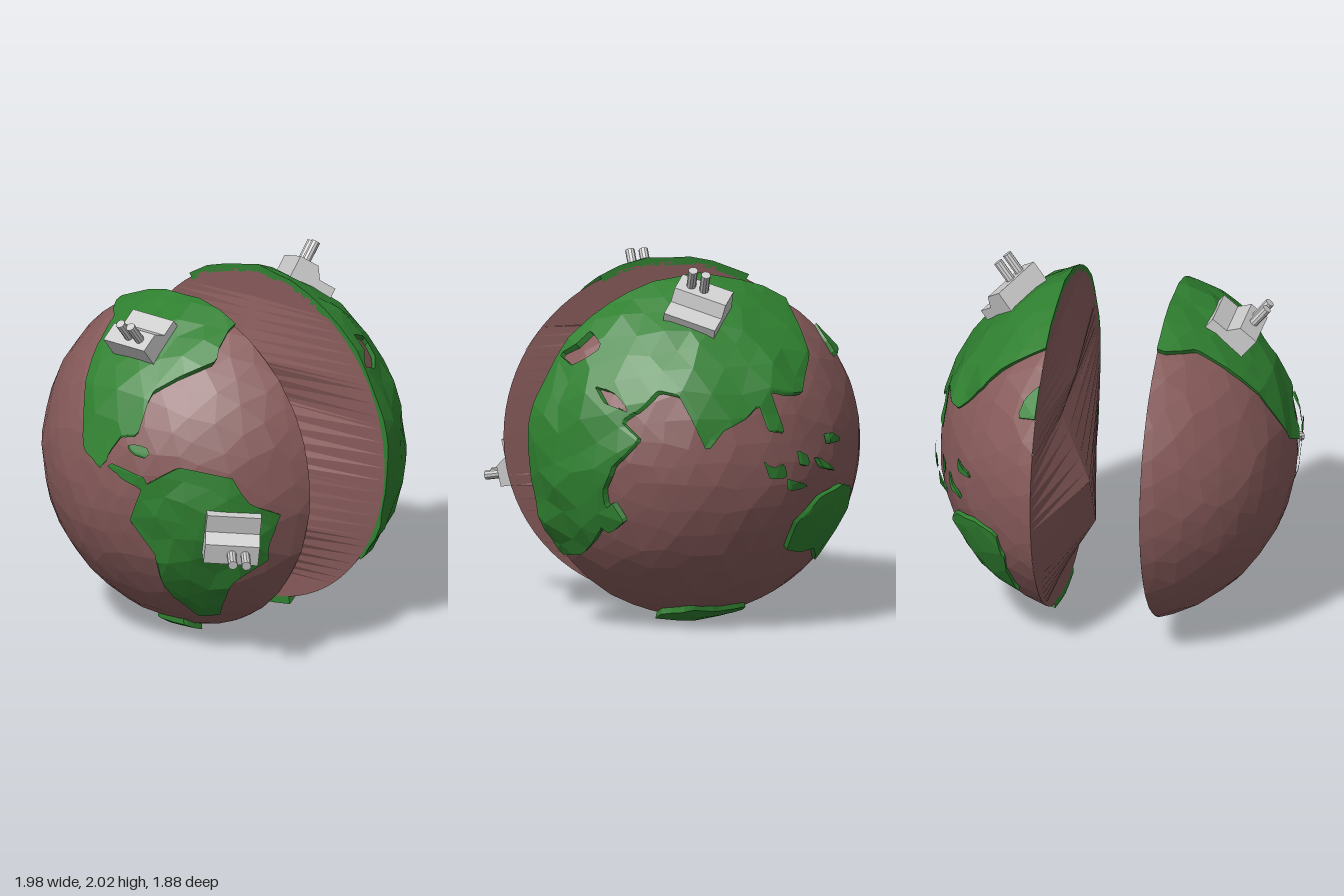
import * as THREE from 'three';

const R = 0.98, CUT = 0.305, C = new THREE.Vector3(0, 0.955, -0.02);
const V = (x, y, z) => new THREE.Vector3(x, y, z);
const mat = (color, side = THREE.FrontSide) => new THREE.MeshStandardMaterial({ color, side, flatShading: true });
const ROCK = 0x875a5a, GRASS = 0x2f8030;

// Coastlines as [z, y] outlines, one set for each half (+1 is the left half, -1 the right)
const LAND = {
  1: [
    [[-0.5, 2.1], [-0.53, 1.74], [-0.57, 1.5], [-0.49, 1.32], [-0.38, 1.33], [-0.28, 1.36], [-0.36, 1.12], [-0.27, 1.14],
      [-0.22, 1.29], [-0.14, 1.22], [0, 1.16], [0.1, 1.04], [0.17, 1.2], [0.24, 1.35], [0.34, 1.37], [0.44, 1.27],
      [0.54, 1.2], [0.46, 1.11], [0.59, 0.95], [0.63, 0.81], [0.6, 0.66], [0.67, 0.42], [0.75, 0.38], [1.2, 0.3], [1.2, 2.1]],
    [[-0.41, 0.44], [-0.45, 0.6], [-0.6, 0.73], [-0.76, 0.77], [-0.84, 0.74], [-0.83, 0.6], [-0.66, 0.32], [-0.6, 0.42], [-0.5, 0.41]],
    [[0.64, 0.66], [0.58, 0.74], [0.52, 0.64], [0.58, 0.55]],
    [[-0.23, 0.98], [-0.27, 0.87], [-0.37, 0.87], [-0.35, 0.95], [-0.29, 0.93]],
    [[-0.45, 1.02], [-0.47, 0.93], [-0.52, 0.91], [-0.5, 0.98]],
    [[-0.38, 0.86], [-0.39, 0.79], [-0.54, 0.8]],
    [[-0.56, 0.97], [-0.66, 0.9], [-0.7, 0.86], [-0.6, 0.9]],
    [[-0.64, 1.1], [-0.66, 1.02], [-0.77, 1.02], [-0.7, 1.06]],
    [[-0.66, 1.7], [-0.72, 1.56], [-0.79, 1.45], [-0.9, 1.5], [-0.75, 1.75]],
    [[0.25, -0.1], [0.2, 0.045], [0.05, 0.08], [-0.1, 0.06], [-0.28, 0.07], [-0.3, -0.1]],
  ],
  '-1': [
    [[-0.5, 2.1], [-0.48, 1.78], [-0.36, 1.75], [-0.32, 1.61], [-0.25, 1.41], [-0.15, 1.15], [0, 1.08], [0.05, 1.2],
      [0.1, 1.28], [0.2, 1.3], [0.2, 1.52], [0.3, 1.6], [0.43, 1.68], [0.36, 1.81], [0.4, 2.1]],
    [[0.28, 1.03], [0.45, 1.15], [0.69, 1.1], [0.76, 0.95], [0.86, 0.88], [0.8, 0.7], [0.78, 0.6], [0.61, 0.45],
      [0.42, 0.2], [0.3, 0.18], [0.28, 0.4], [0.31, 0.6], [0.18, 0.8]],
    [[0, 1.14], [0.1, 1.12], [0.28, 1.08], [0.3, 1.0], [0.15, 1.05]],
    [[0.15, 1.25], [0.26, 1.24], [0.3, 1.18], [0.2, 1.2]],
    [[0.15, -0.1], [0.1, 0.05], [-0.1, 0.06], [-0.2, -0.1]],
  ],
};
const LAKES = {
  1: [[[0.76, 1.5], [0.6, 1.64], [0.57, 1.57], [0.72, 1.46]], [[0.65, 1.39], [0.61, 1.29], [0.48, 1.24], [0.55, 1.34]]],
  '-1': [],
};

// Signed distance to an outline, positive inside
function inside(poly, px, py) {
  let d = Infinity, sign = -1;
  poly.forEach(([ax, ay], i) => {
    const [bx, by] = poly[(i + 1) % poly.length], ex = bx - ax, ey = by - ay;
    const t = THREE.MathUtils.clamp(((px - ax) * ex + (py - ay) * ey) / (ex * ex + ey * ey), 0, 1);
    d = Math.min(d, Math.hypot(px - ax - t * ex, py - ay - t * ey));
    if ((ay > py) !== (by > py) && px < ax + ex * (py - ay) / ey) sign = -sign;
  });
  return sign * d;
}
const landAt = (p, s) => Math.min(
  Math.max(...LAND[s].map(o => inside(o, p.z, p.y))),
  ...LAKES[s].map(o => -inside(o, p.z, p.y)));

// Keeps the part of a polygon where f > 0, marking the new corners as cut
function clip(poly, f) {
  const out = [], d = poly.map(f);
  poly.forEach((a, i) => {
    const j = (i + 1) % poly.length;
    if (d[i] > 0) out.push(a);
    if (d[i] > 0 !== d[j] > 0) {
      const p = a.clone().lerp(poly[j], d[i] / (d[i] - d[j]));
      p.cut = true;
      out.push(p);
    }
  });
  return out;
}

const hash = (v, k) => {
  const s = Math.sin(Math.round(v.x * 500) * 12.99 + Math.round(v.y * 500) * 78.23 + Math.round(v.z * 500) * 37.72 + k * 9.1) * 4375.85;
  return s - Math.floor(s);
};
function facetMesh(name, tris, material) {
  const g = new THREE.BufferGeometry().setFromPoints(tris);
  g.computeVertexNormals();
  const m = new THREE.Mesh(g, material);
  m.name = name;
  return m;
}
const fan = (out, poly) => {
  for (let i = 2; i < poly.length; i++) out.push(poly[0], poly[i - 1], poly[i]);
};

// Rock crust and raised land of one half
function crust(s) {
  const rock = [], grass = [];
  const pos = new THREE.IcosahedronGeometry(1, 7).attributes.position;
  const shaped = (v, lift) => {
    const j = V(hash(v, 1) - 0.5, hash(v, 2) - 0.5, hash(v, 3) - 0.5).multiplyScalar(0.055);
    const r = R - 0.006 + 0.01 * hash(v, 4) + lift * (0.012 + 0.026 * hash(v, 5));
    return j.add(v).normalize().multiplyScalar(r).add(C);
  };
  const half = p => s * p.x - CUT;
  const N = 5;
  for (let i = 0; i < pos.count; i += 3) {
    const base = [0, 1, 2].map(k => V().fromBufferAttribute(pos, i + k));
    fan(rock, clip(base.map(v => shaped(v, 0)), half));
    const [a, b, c] = base.map(v => shaped(v, 1));
    if (Math.max(s * a.x, s * b.x, s * c.x) < CUT) continue;
    const at = (u, v) => a.clone().addScaledVector(b.clone().sub(a), u / N).addScaledVector(c.clone().sub(a), v / N);
    for (let u = 0; u < N; u++) for (let v = 0; v < N - u; v++) {
      const cells = [[at(u, v), at(u + 1, v), at(u, v + 1)]];
      if (u + v < N - 1) cells.push([at(u + 1, v), at(u + 1, v + 1), at(u, v + 1)]);
      for (const cell of cells) {
        const p = clip(clip(cell, half), q => landAt(q, s));
        fan(grass, p);
        // coast walls down into the rock
        p.forEach((m, k) => {
          const n = p[(k + 1) % p.length];
          if (!m.cut || !n.cut) return;
          const low = q => { const w = q.clone().sub(C).multiplyScalar(0.955).add(C); w.x = q.x; return w; };
          fan(grass, [m, low(m), low(n), n]);
        });
      }
    }
  }
  return [facetMesh('crust', rock, mat(ROCK)), facetMesh('continents', grass, mat(GRASS))];
}

// Broken inner face: a ridge of [y, x, z] points joined to the round rim
function fracture(s, ridge) {
  const rc = Math.sqrt(R * R - CUT * CUT) - 0.004, x0 = s * CUT, tris = [];
  const ys = ridge.map(p => p[0]);
  for (let i = 0; i <= 40; i++) ys.push(C.y - rc * Math.cos(Math.PI * i / 40));
  ys.sort((a, b) => a - b);
  const rows = ys.map(y => {
    const w = Math.sqrt(Math.max(0, rc * rc - (y - C.y) ** 2));
    let apex = V(x0, y, C.z);
    for (let i = 1; i < ridge.length; i++) {
      const [p, q] = [ridge[i - 1], ridge[i]];
      if (y >= p[0] && y <= q[0]) {
        const t = (y - p[0]) / (q[0] - p[0]);
        apex = V(p[1] + t * (q[1] - p[1]), y, p[2] + t * (q[2] - p[2]));
      }
    }
    return [V(x0, y, C.z - w), apex, V(x0, y, C.z + w)];
  });
  for (let i = 1; i < rows.length; i++) for (let k = 0; k < 2; k++) {
    const [a, b] = [rows[i - 1], rows[i]];
    fan(tris, s < 0 ? [a[k + 1], a[k], b[k], b[k + 1]] : [a[k], a[k + 1], b[k + 1], b[k]]);
  }
  return facetMesh('fractureFace', tris, mat(ROCK, THREE.DoubleSide));
}

// Stepped building with two chimneys, standing along normal n with its length along l
function factory(n, l) {
  const g = new THREE.Group();
  g.name = 'factory';
  const grey = mat(0xcccccc), L = 0.3;
  const outline = [[-0.13, -0.03], [0.13, -0.03], [0.13, 0.125], [0.015, 0.125], [-0.03, 0.06], [-0.13, 0.06]];
  const geo = new THREE.ExtrudeGeometry(new THREE.Shape(outline.map(p => new THREE.Vector2(...p))), { depth: L, bevelEnabled: false });
  geo.translate(0, 0, -L / 2).rotateY(-Math.PI / 2);
  const hall = new THREE.Mesh(geo, grey);
  hall.name = 'hall';
  g.add(hall);
  for (const x of [0, 0.075]) {
    const chimney = new THREE.Mesh(new THREE.CylinderGeometry(0.026, 0.026, 0.14, 10), grey);
    chimney.position.set(x, 0.175, 0.07);
    chimney.name = 'chimney';
    g.add(chimney);
  }
  const Y = n.normalize(), Z = l.cross(Y).normalize(), X = Y.clone().cross(Z);
  g.quaternion.setFromRotationMatrix(new THREE.Matrix4().makeBasis(X, Y, Z));
  g.position.copy(C).addScaledVector(Y, 0.98);
  return g;
}

export function createModel() {
  const model = new THREE.Group();
  model.name = 'splitPlanet';
  const left = new THREE.Group(), right = new THREE.Group();
  left.name = 'leftHalf';
  right.name = 'rightHalf';
  left.add(...crust(1),
    fracture(1, [[0.18, 0.305, -0.1], [0.51, 0.115, -0.1], [0.83, 0.115, -0.27], [1.19, 0.285, -0.2], [1.4, 0.225, -0.1], [1.73, 0.305, -0.05]]),
    factory(V(0.6, 0.8, 0.07), V(-0.47, 0.3, 0.83)));
  right.add(...crust(-1),
    fracture(-1, [[0.27, -0.305, 0], [0.4, -0.24, 0], [0.5, -0.24, 0], [0.68, -0.2, 0], [0.77, -0.26, 0],
      [1.43, -0.245, 0], [1.55, -0.265, 0], [1.556, -0.305, 0]]),
    factory(V(-0.63, 0.78, 0), V(0, 0, 1)),
    factory(V(-0.69, -0.18, 0.7), V(0.81, -0.06, 0.59)));
  model.add(left, right);
  return model;
}
